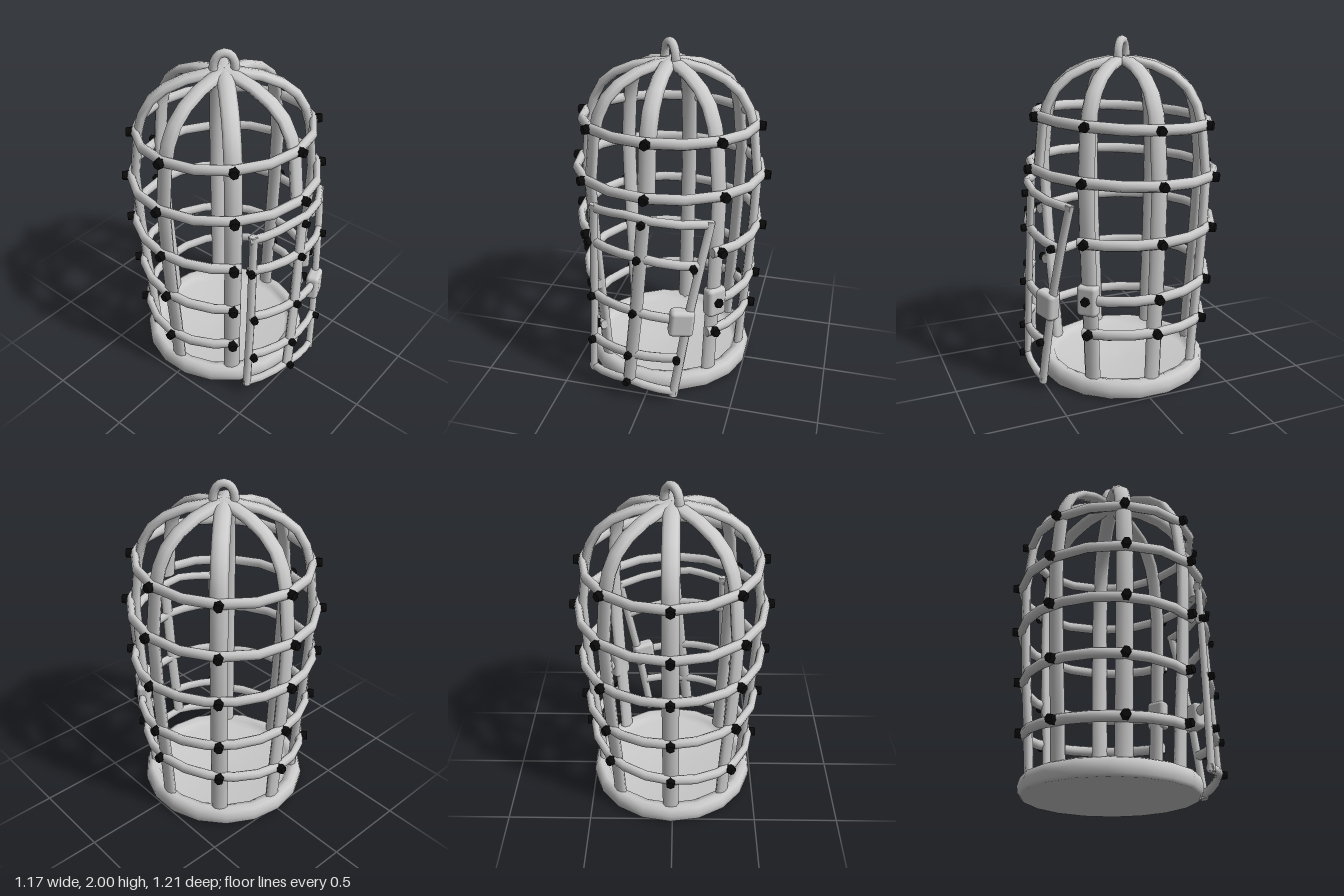
import * as THREE from 'three';
import { RoundedBoxGeometry } from 'three/addons/geometries/RoundedBoxGeometry.js';

const V = (x, y, z) => new THREE.Vector3(x, y, z);
const radial = (a) => V(Math.sin(a), 0, Math.cos(a)); // angle measured from the front
const grey = new THREE.MeshStandardMaterial({ color: 0xcccccc });
const black = new THREE.MeshStandardMaterial({ color: 0x0a0a0a });

// Sweeps an oval section along points; ref(p) points along the half-size ha, hb is the other one
function sweep(points, ref, ha, hb, closed = false, sides = 8) {
  const n = points.length, pos = [], idx = [];
  const row = (i, s) => {
    const p = points[i];
    const prev = closed ? points[(i + n - 1) % n] : points[Math.max(i - 1, 0)];
    const next = closed ? points[(i + 1) % n] : points[Math.min(i + 1, n - 1)];
    const t = next.clone().sub(prev).normalize();
    const a = ref(p).clone();
    a.addScaledVector(t, -a.dot(t)).normalize();
    const b = t.clone().cross(a);
    for (let j = 0; j < sides; j++) {
      const q = (j / sides) * Math.PI * 2;
      const v = p.clone().addScaledVector(a, Math.cos(q) * ha * s).addScaledVector(b, Math.sin(q) * hb * s);
      pos.push(v.x, v.y, v.z);
    }
    return pos.length / 3 - sides;
  };
  const join = (r0, r1) => {
    for (let j = 0; j < sides; j++) {
      const k = (j + 1) % sides;
      idx.push(r0 + j, r0 + k, r1 + k, r0 + j, r1 + k, r1 + j);
    }
  };
  const rows = points.map((_, i) => row(i, 1));
  for (let i = 0; i < n - 1; i++) join(rows[i], rows[i + 1]);
  if (closed) join(rows[n - 1], rows[0]);
  else { // flat end caps
    join(row(0, 0), row(0, 1));
    join(row(n - 1, 1), row(n - 1, 0));
  }
  const g = new THREE.BufferGeometry();
  g.setAttribute('position', new THREE.Float32BufferAttribute(pos, 3));
  g.setIndex(idx);
  g.computeVertexNormals();
  return g;
}

function add(parent, name, geometry, material = grey) {
  const m = new THREE.Mesh(geometry, material);
  m.name = name;
  parent.add(m);
  return m;
}

// Hexagonal rivet whose axis follows the outward direction
function addStud(parent, p, out, r = 0.03) {
  const s = add(parent, 'stud', new THREE.CylinderGeometry(r * 0.85, r, 0.045, 6), black);
  s.position.copy(p).addScaledVector(out, 0.025);
  s.quaternion.setFromUnitVectors(V(0, 1, 0), out);
}

export function createModel() {
  const cage = new THREE.Group();
  cage.name = 'cage';
  cage.position.set(0.01, 0, -0.035);

  // Base dish with rounded rim
  const dish = [[0, 0.005], [0.485, 0.005], [0.5, 0.02], [0.503, 0.06], [0.49, 0.1], [0.46, 0.113],
    [0.42, 0.1], [0.4, 0.06], [0, 0.045]].map(([x, y]) => new THREE.Vector2(x, y));
  add(cage, 'base', new THREE.LatheGeometry(dish, 18));

  // Upright bars bending into the dome; the front one stops above the doorway
  const profile = [[0.44, 0.07], [0.46, 0.4], [0.478, 0.62], [0.497, 0.94], [0.508, 1.25], [0.478, 1.52],
    [0.448, 1.63], [0.395, 1.72], [0.315, 1.785], [0.2, 1.835], [0.08, 1.86], [0, 1.862]];
  for (let k = 0; k < 8; k++) {
    const a = (k * Math.PI) / 4, out = radial(a), side = radial(a + Math.PI / 2);
    const pts = (k === 0 ? profile.slice(4) : profile)
      .map(([r, y]) => out.clone().multiplyScalar(r).setY(y));
    add(cage, 'bar', sweep(pts, () => side, 0.048, 0.027));
  }

  // Slightly tilted hoops: radius, height, slope in x, slope in z, open at the doorway
  const hoops = [
    [0.482, 0.355, 0.09, 0.02, true], [0.502, 0.625, -0.03, -0.03, true], [0.527, 0.945, -0.02, -0.01, true],
    [0.537, 1.258, -0.012, 0.045, false], [0.495, 1.545, -0.01, 0.055, false],
  ];
  for (const [r, y, sx, sz, open] of hoops) {
    const at = (a) => {
      const p = radial(a).multiplyScalar(r);
      return p.setY(y + sx * p.x + sz * p.z);
    };
    const pts = [], n = 16, gap = open ? 0.7 : 0;
    for (let i = 0; i < n + (open ? 1 : 0); i++) pts.push(at(gap + (i / n) * (Math.PI * 2 - 2 * gap)));
    add(cage, 'hoop', sweep(pts, () => V(0, 1, 0), 0.032, 0.024, !open));
    for (let k = open ? 1 : 0; k < 8; k++) {
      const out = radial((k * Math.PI) / 4);
      addStud(cage, at((k * Math.PI) / 4), out);
    }
  }

  // Hanging loop, set diagonally
  const loop = [];
  for (let i = 0; i <= 8; i++) {
    const q = (i / 8) * Math.PI, c = Math.cos(q) * 0.058 * Math.SQRT1_2;
    loop.push(V(c, 1.895 + Math.sin(q) * 0.08, c));
  }
  loop.unshift(V(loop[0].x, 1.845, loop[0].z));
  loop.push(V(loop[9].x, 1.845, loop[9].z));
  add(cage, 'hangingLoop', sweep(loop, () => V(1, 0, -1), 0.026, 0.025));

  // Crooked door, wrapped around the front of the cage
  const door = new THREE.Group();
  door.name = 'door';
  cage.add(door);
  const onDoor = (x, y) => {
    const r = 0.558 + 0.03 * (1 - y), lx = x - 0.01;
    return V(lx, y, Math.sqrt(r * r - lx * lx));
  };
  const outward = (p) => V(p.x, 0, p.z).normalize();
  const strip = (name, pts, half) => {
    const path = [];
    for (let i = 0; i < pts.length - 1; i++) {
      const [x0, y0] = pts[i], [x1, y1] = pts[i + 1];
      for (let s = 0; s < 3; s++) path.push(onDoor(x0 + ((x1 - x0) * s) / 3, y0 + ((y1 - y0) * s) / 3));
    }
    path.push(onDoor(...pts[pts.length - 1]));
    add(door, name, sweep(path, outward, 0.022, half));
  };
  strip('doorTop', [[-0.32, 1.155], [-0.1, 1.18], [0.355, 1.125]], 0.027);
  strip('doorBottom', [[-0.36, 0.095], [-0.09, 0.13], [0.185, 0.08]], 0.027);
  strip('doorHingeSide', [[-0.3, 1.18], [-0.32, 0.6], [-0.345, 0.08]], 0.025);
  strip('doorLatchSide', [[0.345, 1.145], [0.25, 0.6], [0.17, 0.055]], 0.027);
  strip('doorMiddleBar', [[0.005, 1.16], [-0.04, 0.6], [-0.09, 0.12]], 0.038);
  strip('doorRail', [[-0.33, 0.95], [-0.02, 0.94], [0.29, 0.89]], 0.03);
  strip('doorRail', [[-0.33, 0.615], [-0.05, 0.6], [0.22, 0.565]], 0.03);
  strip('doorRail', [[-0.34, 0.315], [-0.08, 0.315], [0.21, 0.315]], 0.03);
  const doorStuds = [[0, 1.145], [-0.32, 0.95], [-0.025, 0.935], [0.26, 0.89], [-0.31, 0.61], [-0.05, 0.6],
    [-0.315, 0.315], [-0.08, 0.315], [0.185, 0.315], [-0.09, 0.13]];
  for (const [x, y] of doorStuds) {
    const p = onDoor(x, y);
    addStud(door, p, outward(p), 0.024);
  }

  // Latch on the door and its keeper on the bar beside it
  const latch = add(door, 'latch', new RoundedBoxGeometry(0.14, 0.16, 0.08, 2, 0.025));
  latch.position.copy(onDoor(0.21, 0.55));
  latch.rotation.set(0, 0.36, -0.1);
  const keeper = add(cage, 'latchKeeper', new RoundedBoxGeometry(0.12, 0.18, 0.08, 2, 0.025));
  keeper.position.copy(radial(Math.PI / 4).multiplyScalar(0.49)).setY(0.6);
  keeper.rotation.y = Math.PI / 4;

  const model = new THREE.Group();
  model.name = 'birdcage';
  model.add(cage);
  return model;
}
